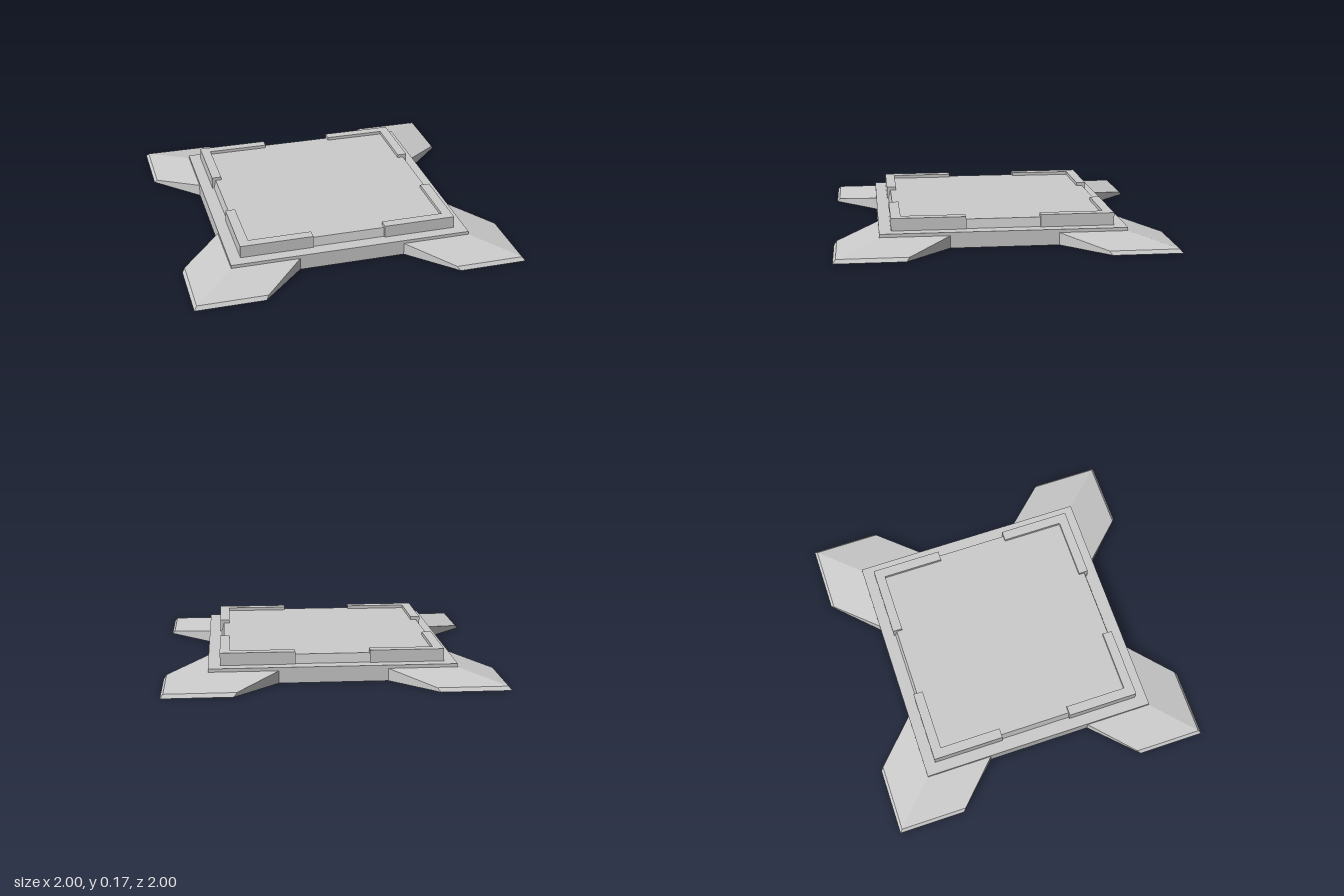
import * as THREE from 'three';

const material = new THREE.MeshStandardMaterial({ color: 0xcccccc, flatShading: true });

function part(name, geometry) {
  const mesh = new THREE.Mesh(geometry, material);
  mesh.name = name;
  return mesh;
}

// Sloping corner foot, built from three mitred cross-sections [distance, height]
function footGeometry() {
  const width = 0.413;
  const rings = [[0.735, 0.075], [0.983, 0.022], [1, 0]].map(([d, y]) => [
    [d - width, y, d], [d, y, d], [d, y, d - width],
  ]);
  const floor = rings[0].map(([x, , z]) => [x, 0, z]);
  const tip = rings[2];
  const positions = [];
  const tri = (a, b, c) => positions.push(...a, ...b, ...c);
  const quad = (a, b, c, d) => { tri(a, b, c); tri(a, c, d); };

  for (let s = 0; s < 2; s++) {
    // slopes
    for (let r = 0; r < 2; r++) {
      quad(rings[r][s], rings[r + 1][s], rings[r + 1][s + 1], rings[r][s + 1]);
    }
    // underside
    quad(floor[s], floor[s + 1], tip[s + 1], tip[s]);
  }
  // upright side walls
  for (let r = 0; r < 2; r++) {
    tri(floor[0], rings[r + 1][0], rings[r][0]);
    tri(floor[2], rings[r][2], rings[r + 1][2]);
  }

  const geometry = new THREE.BufferGeometry();
  geometry.setAttribute('position', new THREE.Float32BufferAttribute(positions, 3));
  geometry.computeVertexNormals();
  return geometry;
}

// L-shaped raised rim around one corner of the platform
function rimGeometry() {
  const outer = 0.665, inner = 0.605, end = 0.222;
  const shape = new THREE.Shape([
    [end, inner], [inner, inner], [inner, end],
    [outer, end], [outer, outer], [end, outer],
  ].map(([x, y]) => new THREE.Vector2(x, y)));
  return new THREE.ExtrudeGeometry(shape, { depth: 0.075, bevelEnabled: false })
    .rotateX(-Math.PI / 2)
    .translate(0, 0.095, 0);
}

export function createModel() {
  const model = new THREE.Group();
  model.name = 'platform';

  // Square base
  model.add(part('base', new THREE.BoxGeometry(1.47, 0.095, 1.47).translate(0, 0.0475, 0)));

  // Deck with slightly leaning sides
  const deck = new THREE.CylinderGeometry(0.642 * Math.SQRT2, 0.655 * Math.SQRT2, 0.055, 4)
    .rotateY(Math.PI / 4)
    .translate(0, 0.1225, 0);
  model.add(part('deck', deck));

  // Feet and rims at the four corners
  const foot = footGeometry();
  const rim = rimGeometry();
  for (let i = 0; i < 4; i++) {
    const corner = new THREE.Group();
    corner.name = 'corner' + (i + 1);
    corner.add(part('foot', foot), part('rim', rim));
    corner.rotation.y = (i * Math.PI) / 2;
    model.add(corner);
  }
  return model;
}
